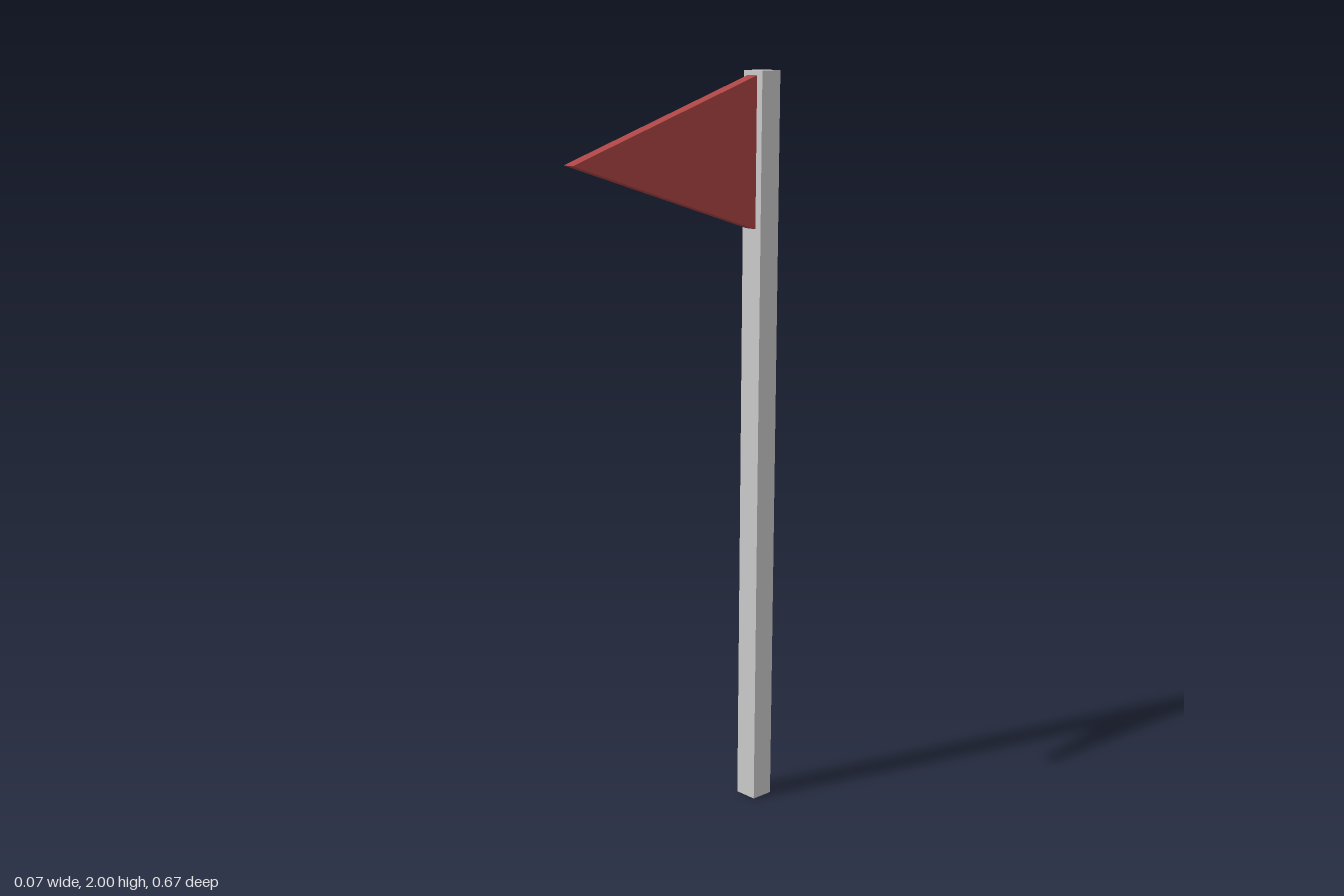
import * as THREE from 'three';

export function createModel() {
  const group = new THREE.Group();

  // Square pole at the back
  const pole = new THREE.Mesh(
    new THREE.BoxGeometry(0.066, 2, 0.065),
    new THREE.MeshStandardMaterial({ color: 0xcccccc, flatShading: true })
  );
  pole.name = 'pole';
  pole.position.set(0, 1, -0.304);
  group.add(pole);

  // Triangular pennant: drawn in z/y, extruded across x
  const outline = new THREE.Shape([
    new THREE.Vector2(-0.272, 1.597),
    new THREE.Vector2(0.336, 1.793),
    new THREE.Vector2(-0.272, 1.988),
  ]);
  const flagGeometry = new THREE.ExtrudeGeometry(outline, { depth: 0.034, bevelEnabled: false });
  flagGeometry.rotateY(-Math.PI / 2);
  const flag = new THREE.Mesh(
    flagGeometry,
    new THREE.MeshStandardMaterial({ color: 0xae4545, flatShading: true })
  );
  flag.name = 'flag';
  flag.position.x = 0.014;
  group.add(flag);

  return group;
}
